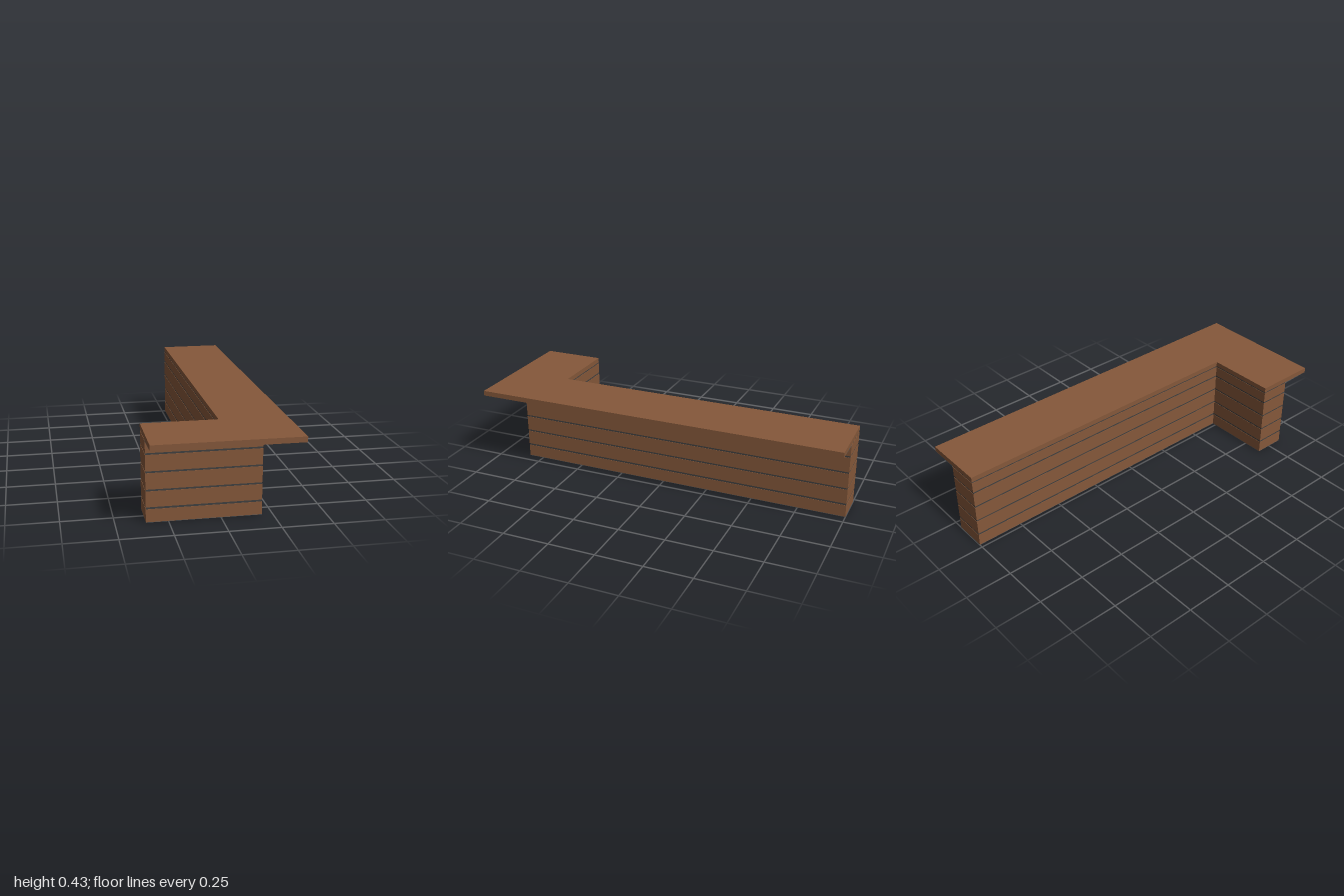
import * as THREE from 'three';

const wood = new THREE.MeshStandardMaterial({ color: 0x85583a });
const dark = new THREE.MeshStandardMaterial({ color: 0x404040 });
const grey = new THREE.MeshStandardMaterial({ color: 0x5c5c5c, side: THREE.DoubleSide });

// Shared plan of the L: the two ends and the inner corner
const LEFT = -0.357, BACK = -1, INNER_X = 0.02, INNER_Z = 0.665;
const BODY = { x: 0.197, z: 0.835 };
const TOP = { x: 0.357, z: 1 };

// L-shaped slab between two heights, optionally inset all round
function slab(name, outer, y0, y1, material, inset = 0) {
  const corners = [
    [LEFT + inset, outer.z - inset],
    [outer.x - inset, outer.z - inset],
    [outer.x - inset, BACK + inset],
    [INNER_X + inset, BACK + inset],
    [INNER_X + inset, INNER_Z + inset],
    [LEFT + inset, INNER_Z + inset],
  ];
  const shape = new THREE.Shape(corners.map(([x, z]) => new THREE.Vector2(x, -z)));
  const geometry = new THREE.ExtrudeGeometry(shape, { depth: y1 - y0, bevelEnabled: false });
  geometry.rotateX(-Math.PI / 2).translate(0, y0, 0);
  const mesh = new THREE.Mesh(geometry, material);
  mesh.name = name;
  return mesh;
}

// Sloping wedge under the overhang, mitred at the front corner
function soffit(yInner, yOuter) {
  const sections = [
    [[BODY.x, BACK], [TOP.x, BACK]],
    [[BODY.x, BODY.z], [TOP.x, TOP.z]],
    [[LEFT, BODY.z], [LEFT, TOP.z]],
  ];
  const positions = [];
  for (const [[xi, zi], [xo, zo]] of sections) {
    positions.push(xi, yInner, zi, xo, yOuter, zo, xi, yOuter, zi);
  }
  const index = [0, 2, 1, 6, 7, 8];
  for (const a of [0, 3]) index.push(a, a + 1, a + 3, a + 1, a + 4, a + 3);
  const indexed = new THREE.BufferGeometry();
  indexed.setAttribute('position', new THREE.Float32BufferAttribute(positions, 3));
  indexed.setIndex(index);
  const geometry = indexed.toNonIndexed();
  geometry.computeVertexNormals();
  const mesh = new THREE.Mesh(geometry, grey);
  mesh.name = 'overhangSoffit';
  return mesh;
}

export function createModel() {
  const counter = new THREE.Group();
  counter.name = 'counter';

  // Worktop with its overhang
  counter.add(slab('worktop', TOP, 0.404, 0.431, wood), soffit(0.397, 0.404));

  // Base and the dark core that shows in the gaps
  counter.add(slab('basePlate', BODY, 0, 0.002, grey));
  counter.add(slab('core', BODY, 0.002, 0.404, dark, 0.002));

  // Courses of planks around the body
  const courses = [[0.002, 0.066], [0.076, 0.154], [0.163, 0.243], [0.252, 0.331], [0.34, 0.397]];
  const planks = new THREE.Group();
  planks.name = 'planks';
  courses.forEach(([y0, y1], i) => planks.add(slab(`plankCourse${i + 1}`, BODY, y0, y1, wood)));
  counter.add(planks);

  return counter;
}
